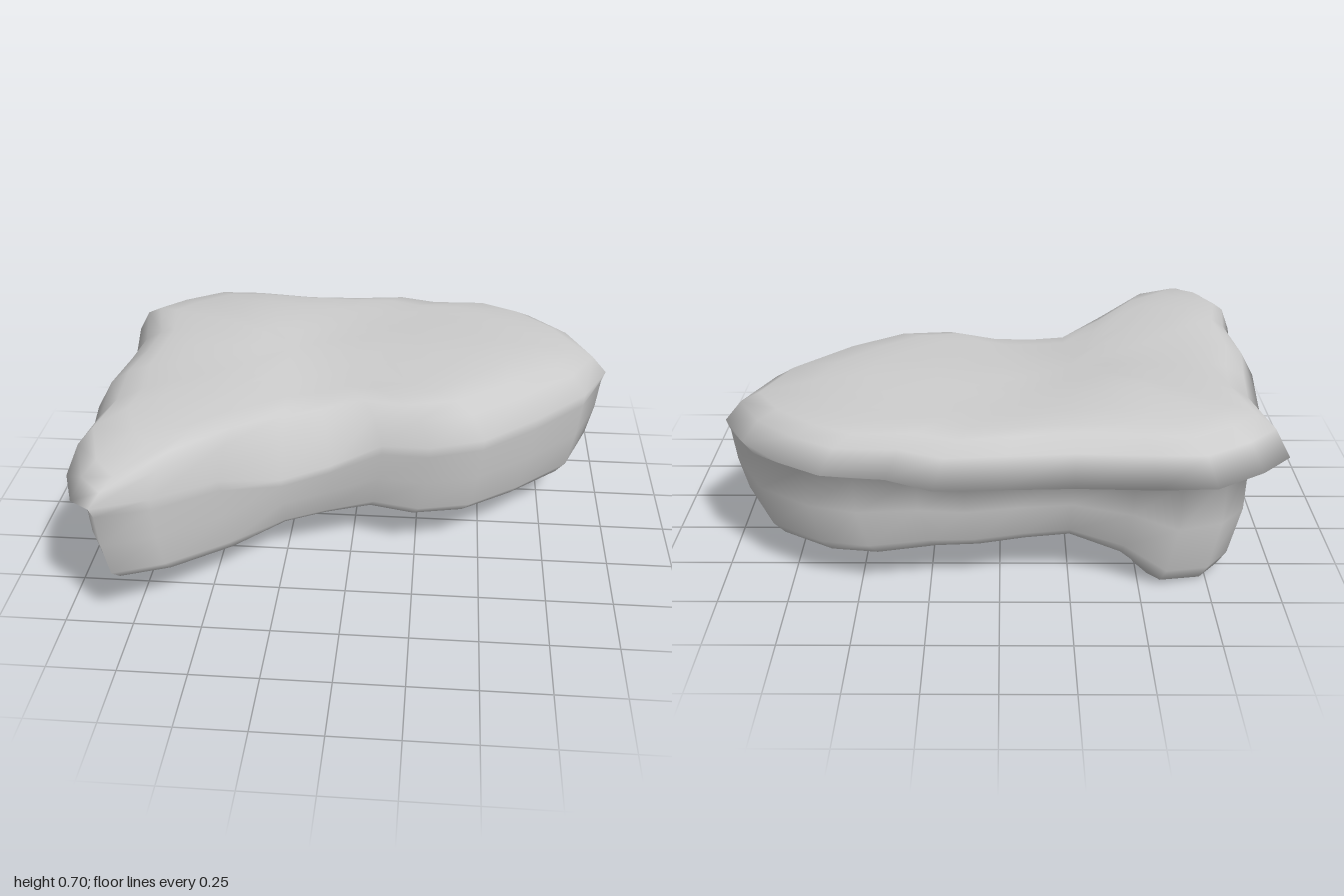
import * as THREE from 'three';

const stone = new THREE.MeshStandardMaterial({ color: 0xcccccc });
stone.name = 'stone grey';

// Plan outline at the widest level: x, z, height of the rim, inset of the wall below it
const OUTLINE = [
  [-0.82, 0.86, 0.58, 0.015], [-0.91, 0.77, 0.55, 0.06], [-0.985, 0.57, 0.52, 0.13],
  [-0.96, 0.36, 0.52, 0.12], [-1, 0.08, 0.52, 0.14], [-0.975, -0.15, 0.52, 0.12],
  [-0.955, -0.35, 0.52, 0.1], [-1, -0.62, 0.52, 0.14], [-0.89, -0.73, 0.52, 0.13],
  [-0.72, -0.84, 0.52, 0.16], [-0.53, -0.85, 0.52, 0.17], [-0.25, -0.84, 0.52, 0.17],
  [0, -0.85, 0.52, 0.17], [0.22, -0.86, 0.52, 0.17], [0.38, -0.8, 0.53, 0.13],
  [0.6, -0.79, 0.54, 0.12], [0.75, -0.7, 0.54, 0.08], [0.9, -0.55, 0.54, 0.03],
  [1, -0.355, 0.53, 0.01], [0.9, -0.15, 0.53, 0], [0.7, 0.06, 0.53, 0],
  [0.5, 0.23, 0.53, 0], [0.3, 0.285, 0.52, 0], [0.12, 0.25, 0.5, 0],
  [-0.07, 0.31, 0.44, 0], [-0.25, 0.36, 0.4, 0], [-0.45, 0.52, 0.49, 0],
  [-0.65, 0.73, 0.54, 0],
];
const CX = -0.25, CZ = -0.2;

// Smooth bump of radius r; a higher power gives a flatter crown
const bump = (x, z, bx, bz, r, power = 2) =>
  Math.exp(-Math.pow(Math.hypot(x - bx, z - bz) / r, power));

const topHeight = (x, z) => 0.665
  + 0.04 * bump(x, z, -0.45, -0.43, 0.26)
  + 0.025 * bump(x, z, 0.4, -0.25, 0.3)
  + 0.028 * bump(x, z, -0.75, 0.35, 0.32)
  - 0.05 * bump(x, z, -0.2, 0.28, 0.26)
  - 0.03 * bump(x, z, 1, -0.35, 0.25)
  - 0.04 * bump(x, z, -0.82, 0.86, 0.2);

const bottomHeight = (x, z) => 0.195
  - 0.185 * bump(x, z, -0.66, -0.5, 0.25, 5)
  - 0.075 * bump(x, z, 0.6, -0.38, 0.34)
  - 0.1 * bump(x, z, -0.6, 0.2, 0.34)
  + 0.05 * bump(x, z, -0.8, 0.82, 0.25)
  + 0.05 * bump(x, z, 0.95, -0.35, 0.15);

// Move an outline point towards the middle by a scale and a fixed distance
function inward([x, z], scale, inset = 0) {
  const dx = x - CX, dz = z - CZ;
  const k = scale - inset / Math.hypot(dx, dz);
  return [CX + dx * k, CZ + dz * k];
}

// Closed boulder skin: domed top, overhanging rim, recessed wall, footed underside
function boulderGeometry() {
  const top = (s) => (p) => {
    const [x, z] = inward(p, s);
    return [x, topHeight(x, z), z];
  };
  const shoulder = (inset, mix) => (p) => {
    const [x, z] = inward(p, 1, inset);
    return [x, THREE.MathUtils.lerp(p[2], topHeight(x, z), mix), z];
  };
  const wall = (t, extra, recess) => (p) => {
    const [x, z] = inward(p, 1, p[3] * recess + extra);
    const low = bottomHeight(...inward(p, 1, p[3] + 0.065));
    return [x, low + (p[2] - low) * t, z];
  };
  const under = (s) => (p) => {
    const [x, z] = inward(p, s, p[3] + 0.065);
    return [x, bottomHeight(x, z), z];
  };
  const rings = [
    top(0.2), top(0.4), top(0.6), top(0.74), shoulder(0.13, 0.92), shoulder(0.06, 0.66),
    wall(1, 0, 0), wall(0.87, 0.005, 0.97), wall(0.5, 0.02, 0.9), wall(0.1, 0.05, 1),
    ...[0.98, 0.89, 0.8, 0.71, 0.61, 0.5, 0.36, 0.2].map(under),
  ];

  const n = OUTLINE.length;
  const positions = [], index = [];
  rings.forEach((ring) => OUTLINE.forEach((p) => positions.push(...ring(p))));
  const topCentre = rings.length * n, bottomCentre = topCentre + 1;
  positions.push(CX, topHeight(CX, CZ), CZ, CX, bottomHeight(CX, CZ), CZ);

  for (let i = 0; i < n; i++) {
    const j = (i + 1) % n;
    for (let r = 0; r < rings.length - 1; r++) {
      const a = r * n + i, b = r * n + j, c = a + n, d = b + n;
      index.push(a, b, d, a, d, c);
    }
    const last = (rings.length - 1) * n;
    index.push(topCentre, j, i, bottomCentre, last + i, last + j);
  }
  const geometry = new THREE.BufferGeometry();
  geometry.setAttribute('position', new THREE.Float32BufferAttribute(positions, 3));
  geometry.setIndex(index);
  geometry.computeVertexNormals();

  // Rest the foot on the ground
  geometry.computeBoundingBox();
  geometry.translate(0, -geometry.boundingBox.min.y, 0);
  return geometry;
}

export function createModel() {
  const group = new THREE.Group();
  group.name = 'rock';
  const boulder = new THREE.Mesh(boulderGeometry(), stone);
  boulder.name = 'boulder';
  group.add(boulder);
  return group;
}
